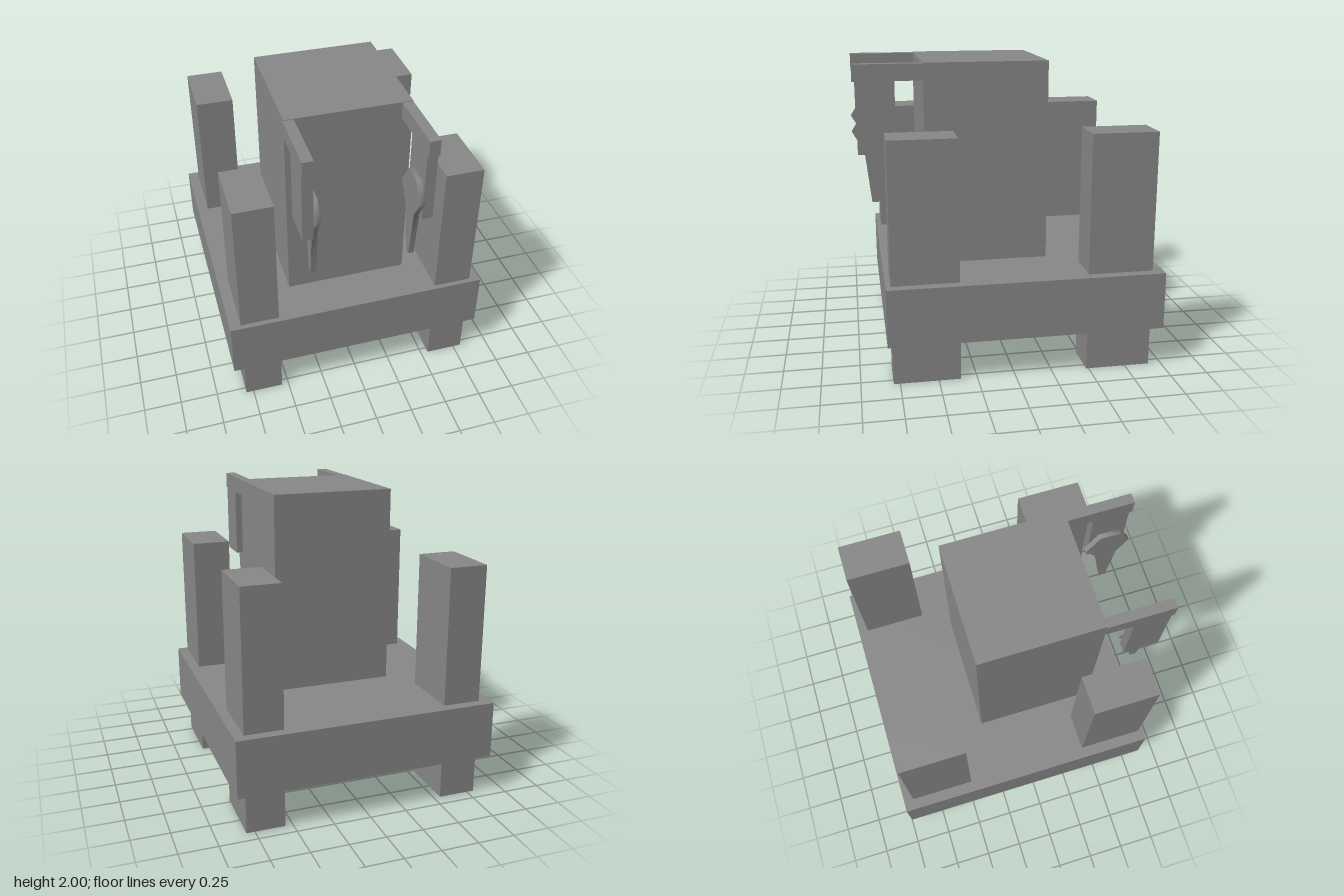
import * as THREE from 'three';
import { toCreasedNormals } from 'three/addons/utils/BufferGeometryUtils.js';

const material = new THREE.MeshStandardMaterial({ color: 0x888888 });

// Box given by its limits along each axis
function box(name, [x0, x1], [y0, y1], [z0, z1]) {
  const mesh = new THREE.Mesh(new THREE.BoxGeometry(x1 - x0, y1 - y0, z1 - z0), material);
  mesh.position.set((x0 + x1) / 2, (y0 + y1) / 2, (z0 + z1) / 2);
  mesh.name = name;
  return mesh;
}

// Flat plate with a (z, y) outline, spanning x0 to x1, its rim shaded smoothly
function plate(name, outline, [x0, x1]) {
  const shape = new THREE.Shape(outline.map(([z, y]) => new THREE.Vector2(z, y)));
  const geometry = new THREE.ExtrudeGeometry(shape, { depth: x1 - x0, bevelEnabled: false });
  geometry.rotateY(-Math.PI / 2).translate(x1, 0, 0);
  const mesh = new THREE.Mesh(toCreasedNormals(geometry, 1.2), material);
  mesh.name = name;
  return mesh;
}

export function createModel() {
  const model = new THREE.Group();
  model.name = 'model';

  // Base slab and central tower
  model.add(box('base', [-0.873, 0.872], [0.283, 0.665], [-0.982, 0.825]));
  model.add(box('tower', [-0.41, 0.405], [0.665, 2], [-0.29, 0.527]));

  // Corner posts run through the base and form the feet
  for (const [side, x] of [['left', [0.55, 0.805]], ['right', [-0.8, -0.545]]]) {
    model.add(box(side + 'FrontPost', x, [0, 1.586], [0.357, 0.792]));
    model.add(box(side + 'BackPost', x, [0, 1.586], [-0.914, -0.482]));
  }

  // Arms: top bar, hanging forearm and pointed blade on the inner face
  const bladeOutline = [
    [0.872, 1.087], [0.91, 1.43], [0.985, 1.56], [0.91, 1.682],
    [0.77, 1.682], [0.682, 1.54], [0.765, 1.43], [0.828, 1.087],
  ];
  const arms = [
    ['left', [0.335, 0.404], [0.299, 0.335]],
    ['right', [-0.416, -0.347], [-0.348, -0.311]],
  ];
  for (const [side, x, bladeX] of arms) {
    const arm = new THREE.Group();
    arm.name = side + 'Arm';
    arm.add(box(side + 'UpperArm', x, [1.888, 1.996], [0.527, 0.975]));
    arm.add(box(side + 'Forearm', x, [1.421, 1.888], [0.708, 0.953]));
    arm.add(plate(side + 'Blade', bladeOutline, bladeX));
    model.add(arm);
  }
  return model;
}
